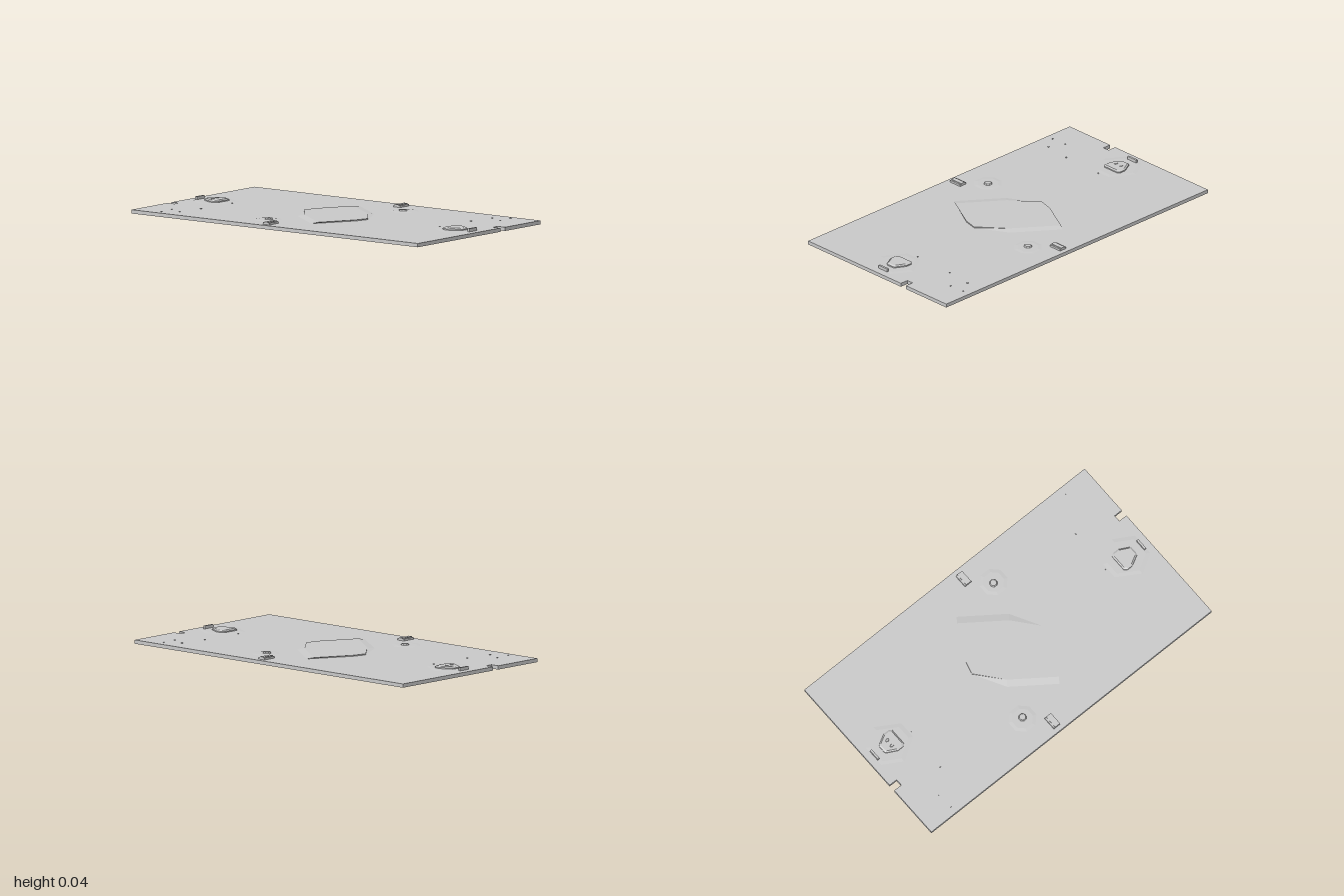
import * as THREE from 'three';

const BASE = 0.021;
const material = new THREE.MeshStandardMaterial({ color: 0xcccccc, flatShading: true });

// Convex raised shape: outlines are [x, z] lists running clockwise seen from above.
function plateau(lower, upper, y0, y1) {
  const pos = [];
  const n = lower.length;
  for (let i = 0; i < n; i++) {
    const j = (i + 1) % n;
    const a = [lower[i][0], y0, lower[i][1]], b = [lower[j][0], y0, lower[j][1]];
    const c = [upper[i][0], y1, upper[i][1]], d = [upper[j][0], y1, upper[j][1]];
    pos.push(...b, ...a, ...c, ...b, ...c, ...d);
    if (i > 0 && j > 0) pos.push(upper[0][0], y1, upper[0][1], ...d, ...c);
  }
  const g = new THREE.BufferGeometry();
  g.setAttribute('position', new THREE.Float32BufferAttribute(pos, 3));
  g.computeVertexNormals();
  return g;
}

const scaled = (pts, s, cx = 0) => pts.map(([x, z]) => [cx + (x - cx) * s, z * s]);
const turned = pts => pts.map(([x, z]) => [-x, -z]);
const polygon = (n, r) => Array.from({ length: n }, (_, i) => {
  const a = (i + 0.5) / n * Math.PI * 2;
  return [r * Math.cos(a), r * Math.sin(a)];
});

export function createModel() {
  const model = new THREE.Group();
  const add = (parent, name, geometry, x = 0, y = 0, z = 0) => {
    const mesh = new THREE.Mesh(geometry, material);
    mesh.name = name;
    mesh.position.set(x, y, z);
    parent.add(mesh);
    return mesh;
  };

  // ground slab with a notch in each short edge
  const half = [[1, -0.54], [1, 0.185], [0.95, 0.185], [0.95, 0.225], [1, 0.225], [1, 0.54]];
  const shape = new THREE.Shape([...half, ...turned(half)].map(p => new THREE.Vector2(...p)));
  const slab = new THREE.ExtrudeGeometry(shape, { depth: BASE, bevelEnabled: false });
  add(model, 'groundSlab', slab.rotateX(-Math.PI / 2));

  // central octagonal plateau with two ramped sides
  const low = [[-0.09, -0.33], [0.14, -0.16], [0.24, 0.02], [0.22, 0.1]];
  const high = low.map(([x, z], i) => (i < 2 ? [x - 0.024, z + 0.032] : [x, z]));
  add(model, 'centralPlateau',
    plateau([...low, ...turned(low)], [...high, ...turned(high)], BASE, 0.027));

  // everything else repeats after a half turn
  for (let side = 0; side < 2; side++) {
    const end = new THREE.Group();
    end.name = side ? 'leftHalf' : 'rightHalf';
    end.rotation.y = side * Math.PI;
    model.add(end);

    // end base: low mound, bevelled pad and shield wall
    const mound = [[0.72, -0.05], [0.85, -0.13], [0.96, -0.065],
      [0.96, 0.065], [0.85, 0.13], [0.72, 0.05]];
    add(end, 'baseMound', plateau(mound, scaled(mound, 0.82, 0.85), BASE, 0.0225));
    const pad = [[0.785, -0.05], [0.8, -0.062], [0.835, -0.062], [0.895, -0.03],
      [0.9, -0.02], [0.9, 0.02], [0.895, 0.03], [0.835, 0.062], [0.8, 0.062], [0.785, 0.05]];
    const padTop = scaled(pad, 0.85, 0.84);
    add(end, 'padFoot', plateau(pad, pad, BASE, 0.029));
    add(end, 'padTop', plateau(pad, padTop, 0.029, 0.035));
    add(end, 'shieldWall', new THREE.BoxGeometry(0.012, 0.018, 0.066), 0.951, BASE + 0.009, 0);
    if (side) {
      for (const z of [-0.02, 0.02]) {
        const knob = new THREE.CylinderGeometry(0.01, 0.012, 0.003, 8);
        add(end, 'padKnob', knob, 0.845, 0.0365, z).scale.z = 0.7;
      }
    }

    // bunker beside the long edge, with a raised roof strip
    add(end, 'bunker', new THREE.BoxGeometry(0.045, 0.011, 0.078), 0.08, BASE + 0.0055, -0.473);
    add(end, 'bunkerRoof', new THREE.BoxGeometry(0.026, 0.004, 0.078), 0.08, 0.034, -0.473);

    // small octagonal platform on a gentle rise
    const rise = polygon(8, 0.08), disc = polygon(8, 0.023);
    add(end, 'platformRise', plateau(rise, scaled(rise, 0.75), BASE, 0.0225), 0.195, 0, -0.355);
    add(end, 'platform', plateau(disc, scaled(disc, 0.8), 0.0225, 0.03), 0.19, 0, -0.35);

    // scattered marker stones
    for (const [x, z] of [[0.71, -0.02], [0.72, -0.28], [0.74, -0.44], [0.83, -0.4], [0.825, -0.495]]) {
      add(end, 'markerStone', new THREE.BoxGeometry(0.006, 0.004, 0.006), x, BASE + 0.002, z);
    }
  }
  return model;
}
